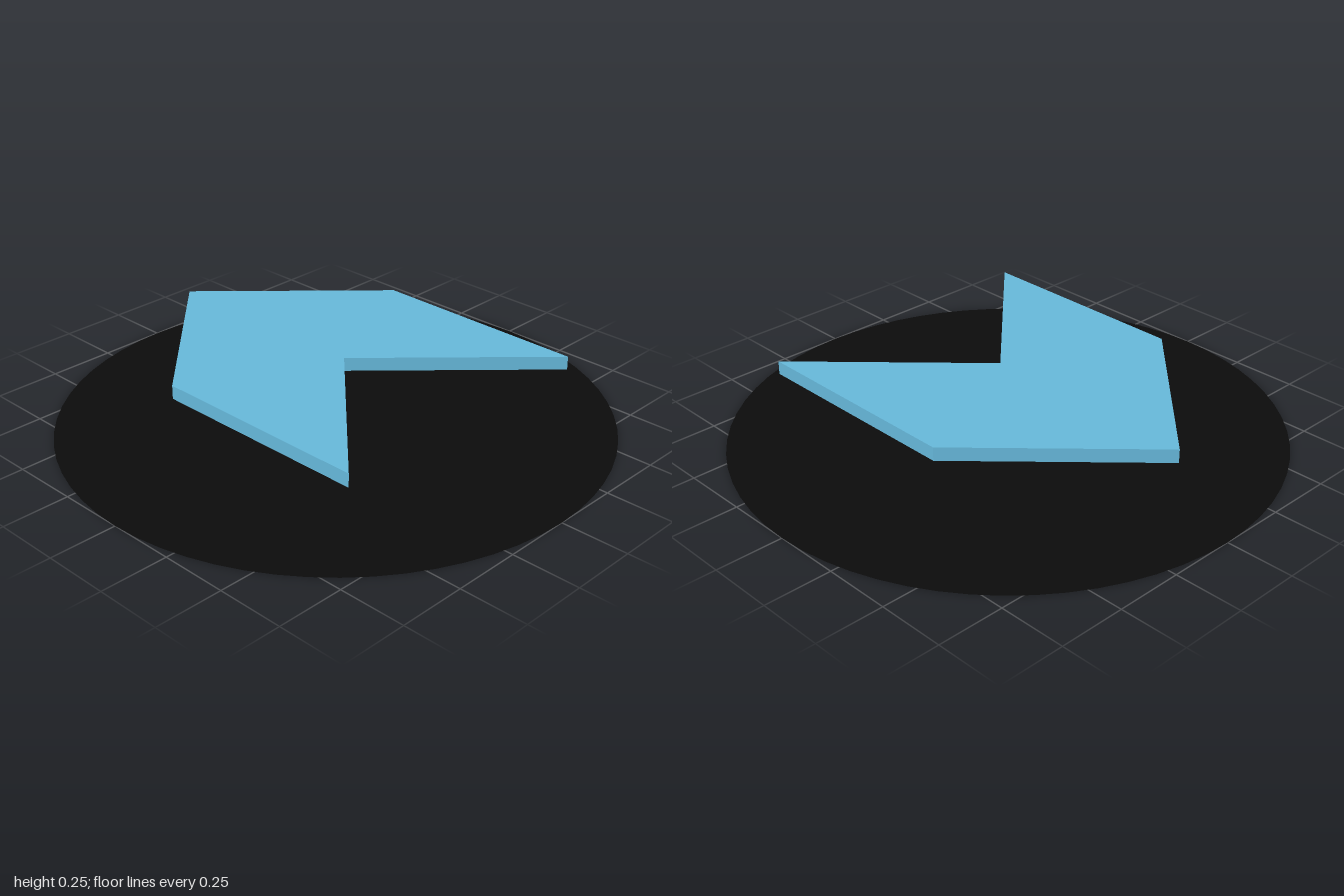
import * as THREE from 'three';

export function createModel() {
  const group = new THREE.Group();

  // Flat round base, visible from both sides
  const disc = new THREE.Mesh(
    new THREE.CircleGeometry(1, 64).rotateX(-Math.PI / 2),
    new THREE.MeshStandardMaterial({ color: 0x0c0c0c, side: THREE.DoubleSide })
  );
  disc.name = 'baseDisc';
  group.add(disc);

  // Chevron arrow pointing to the back, floating above the base
  const half = 0.555;
  const tip = 0.785;
  const notch = -0.04;
  const outline = new THREE.Shape([
    new THREE.Vector2(0, tip),
    new THREE.Vector2(-half, tip - half),
    new THREE.Vector2(-half, notch - half),
    new THREE.Vector2(0, notch),
    new THREE.Vector2(half, notch - half),
    new THREE.Vector2(half, tip - half),
  ]);
  const arrow = new THREE.Mesh(
    new THREE.ExtrudeGeometry(outline, { depth: 0.05, bevelEnabled: false }).rotateX(-Math.PI / 2),
    new THREE.MeshStandardMaterial({ color: 0x66b8da })
  );
  arrow.name = 'arrow';
  arrow.position.y = 0.2;
  group.add(arrow);

  return group;
}
